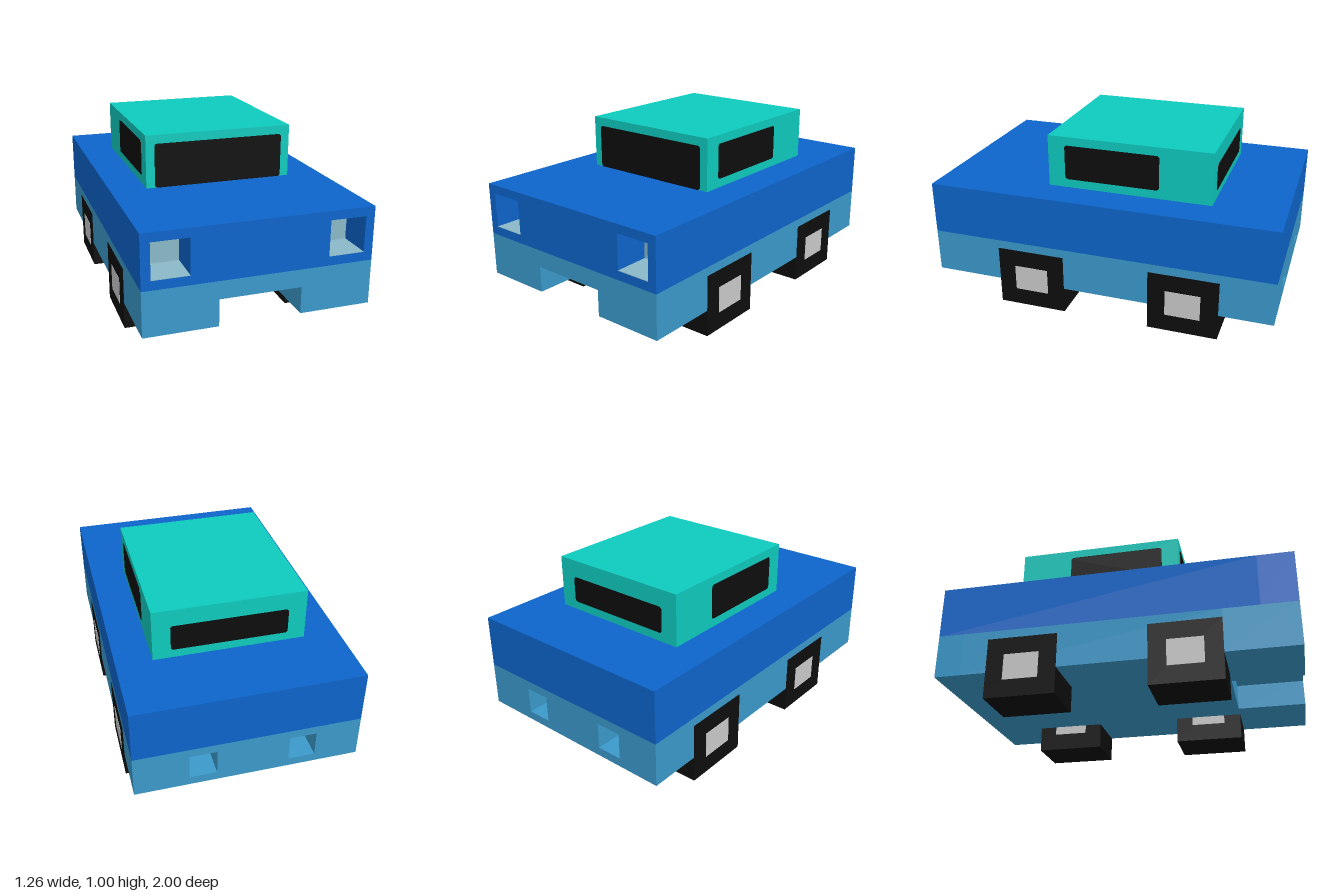
import * as THREE from 'three';

const mat = (name, color) => {
  const m = new THREE.MeshStandardMaterial({ color });
  m.name = name;
  return m;
};

export function createModel() {
  const car = new THREE.Group();
  car.name = 'car';

  const blue = mat('upper body blue', 0x0d65cb);
  const sky = mat('lower body light blue', 0x3b99cb);
  const teal = mat('cabin teal', 0x0ecabe);
  const black = mat('tyre and window black', 0x0d0d0d);
  const grey = mat('hub grey', 0xcacaca);
  const lamp = mat('headlight pale blue', 0x8ab8c8);
  const tail = mat('tail light pale', 0xc9b4b0);

  // Box given by its minimum and maximum corners
  const box = (name, material, [x0, y0, z0], [x1, y1, z1], parent = car) => {
    const mesh = new THREE.Mesh(new THREE.BoxGeometry(x1 - x0, y1 - y0, z1 - z0), material);
    mesh.position.set((x0 + x1) / 2, (y0 + y1) / 2, (z0 + z1) / 2);
    mesh.name = name;
    parent.add(mesh);
    return mesh;
  };

  const rect = (x0, y0, x1, y1, Type = THREE.Shape) => new Type()
    .moveTo(x0, y0).lineTo(x1, y0).lineTo(x1, y1).lineTo(x0, y1).closePath();

  // Cross-section in x and y, extruded from z0 to z1
  const slab = (name, material, shape, z0, z1) => {
    const mesh = new THREE.Mesh(
      new THREE.ExtrudeGeometry(shape, { depth: z1 - z0, bevelEnabled: false }), material);
    mesh.position.z = z0;
    mesh.name = name;
    car.add(mesh);
  };

  // Upper body, with two headlight recesses in the nose
  box('upperBody', blue, [-0.625, 0.4, -1], [0.625, 0.7, 0.8]);
  const nose = rect(-0.625, 0.4, 0.625, 0.7);
  for (const x of [-0.475, 0.475]) {
    nose.holes.push(rect(x - 0.1, 0.45, x + 0.1, 0.65, THREE.Path));
    box('headlight', lamp, [x - 0.1, 0.45, 0.8], [x + 0.1, 0.65, 0.804]);
    box('headlightFloor', lamp, [x - 0.1, 0.45, 0.8], [x + 0.1, 0.453, 0.999]);
  }
  slab('nose', blue, nose, 0.8, 1);

  // Lower body: notched front, solid middle, rear with tail light recesses
  const bumper = new THREE.Shape([
    [-0.625, 0.15], [-0.225, 0.15], [-0.225, 0.3], [0.225, 0.3],
    [0.225, 0.15], [0.625, 0.15], [0.625, 0.4], [-0.625, 0.4],
  ].map(([x, y]) => new THREE.Vector2(x, y)));
  slab('frontBumper', sky, bumper, 0.6, 1);
  box('lowerBody', sky, [-0.625, 0.15, -0.85], [0.625, 0.4, 0.6]);
  const rear = rect(-0.625, 0.15, 0.625, 0.4);
  for (const x of [-0.3, 0.25]) {
    rear.holes.push(rect(x - 0.075, 0.2, x + 0.075, 0.35, THREE.Path));
    box('tailLight', tail, [x - 0.075, 0.2, -0.854], [x + 0.075, 0.35, -0.85]);
  }
  slab('rearBumper', sky, rear, -1, -0.85);

  // Cabin
  box('cabin', teal, [-0.425, 0.7, -0.6], [0.425, 1, 0.35]);

  // Thin window plate with slightly rounded corners, centred on its own origin
  const windowPlate = (name, w, h, x, y, z, turn) => {
    const r = 0.01, a = w / 2, b = h / 2;
    const s = new THREE.Shape()
      .moveTo(-a + r, -b).lineTo(a - r, -b).lineTo(a, -b + r).lineTo(a, b - r)
      .lineTo(a - r, b).lineTo(-a + r, b).lineTo(-a, b - r).lineTo(-a, -b + r).closePath();
    const mesh = new THREE.Mesh(
      new THREE.ExtrudeGeometry(s, { depth: 0.003, bevelEnabled: false }), black);
    mesh.position.set(x, y, z);
    mesh.rotation.y = turn;
    mesh.name = name;
    car.add(mesh);
  };
  windowPlate('windscreen', 0.75, 0.25, 0, 0.825, 0.35, 0);
  windowPlate('rearWindow', 0.65, 0.15, 0, 0.825, -0.6, Math.PI);
  for (const side of [-1, 1]) {
    windowPlate('sideWindow', 0.55, 0.2, side * 0.425, 0.85, -0.025, side * Math.PI / 2);
  }

  // Square wheels, each with a hub running through it
  for (const side of [-1, 1]) {
    for (const z of [-0.5, 0.4]) {
      const wheel = new THREE.Group();
      wheel.name = z > 0 ? 'frontWheel' : 'rearWheel';
      wheel.position.set(side * 0.476, 0, z);
      box('tyre', black, [-0.151, 0, -0.2], [0.151, 0.35, 0.2], wheel);
      box('hub', grey, [-0.153, 0.1, -0.1], [0.153, 0.25, 0.1], wheel);
      car.add(wheel);
    }
  }

  return car;
}
